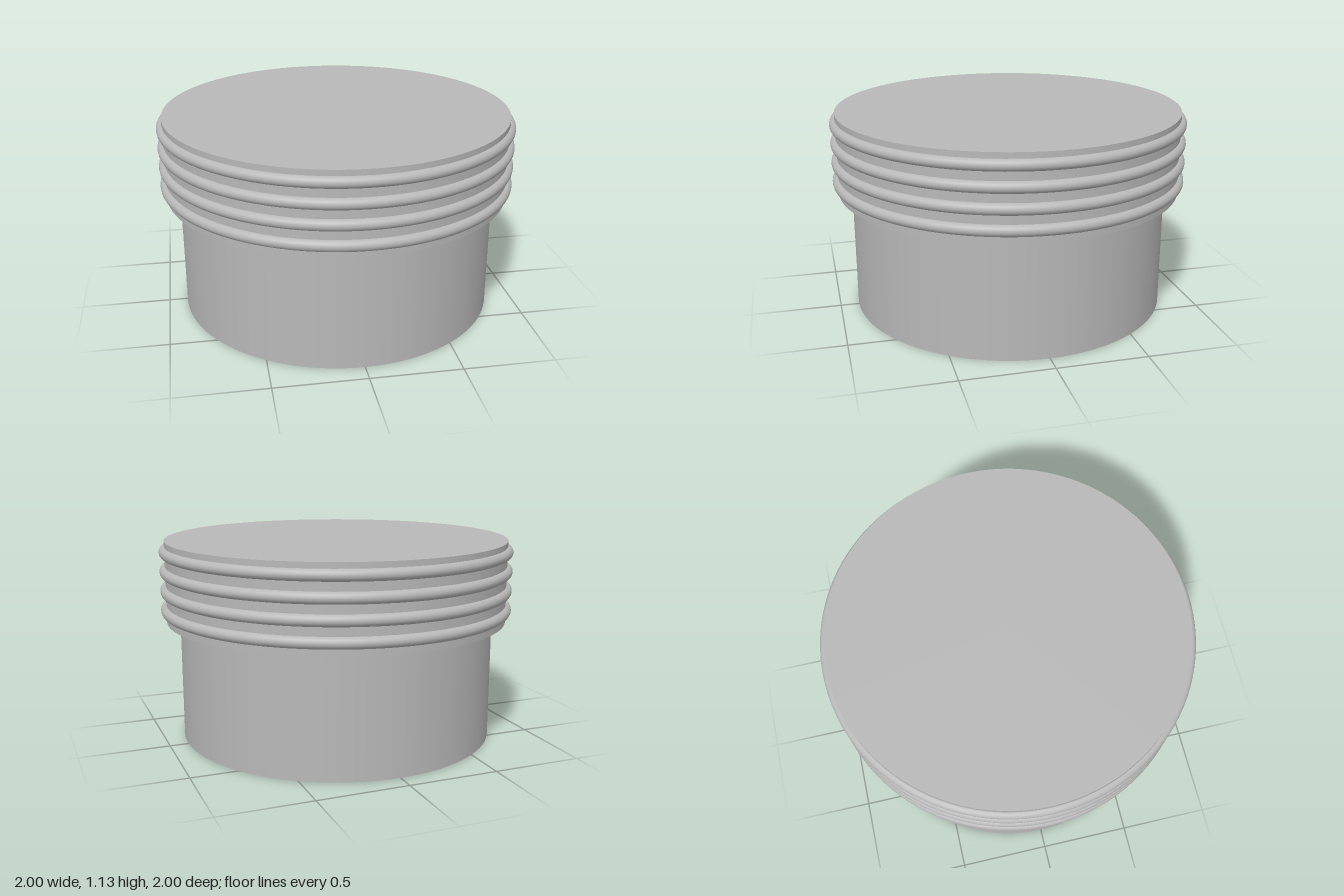
import * as THREE from 'three';

const SEGMENTS = 96;

export function createModel() {
  const group = new THREE.Group();
  const grey = new THREE.MeshStandardMaterial({ color: 0xb8b8b8 });
  grey.name = 'plain grey';

  const add = (name, geometry, y) => {
    const mesh = new THREE.Mesh(geometry, grey);
    mesh.name = name;
    mesh.position.y = y;
    group.add(mesh);
  };
  const disc = (name, radius, bottom, top) =>
    add(name, new THREE.CylinderGeometry(radius, radius, top - bottom, SEGMENTS), (bottom + top) / 2);

  // Narrow plug below the wider collar
  disc('plug', 0.895, 0, 0.675);
  disc('collar', 0.97, 0.672, 1.13);

  // Four round sealing ribs, half sunk into the collar
  for (let i = 0; i < 4; i++) {
    const rib = new THREE.TorusGeometry(0.969, 0.031, 20, SEGMENTS).rotateX(-Math.PI / 2);
    add(`rib${i + 1}`, rib, 0.741 + i * 0.109);
  }
  return group;
}
